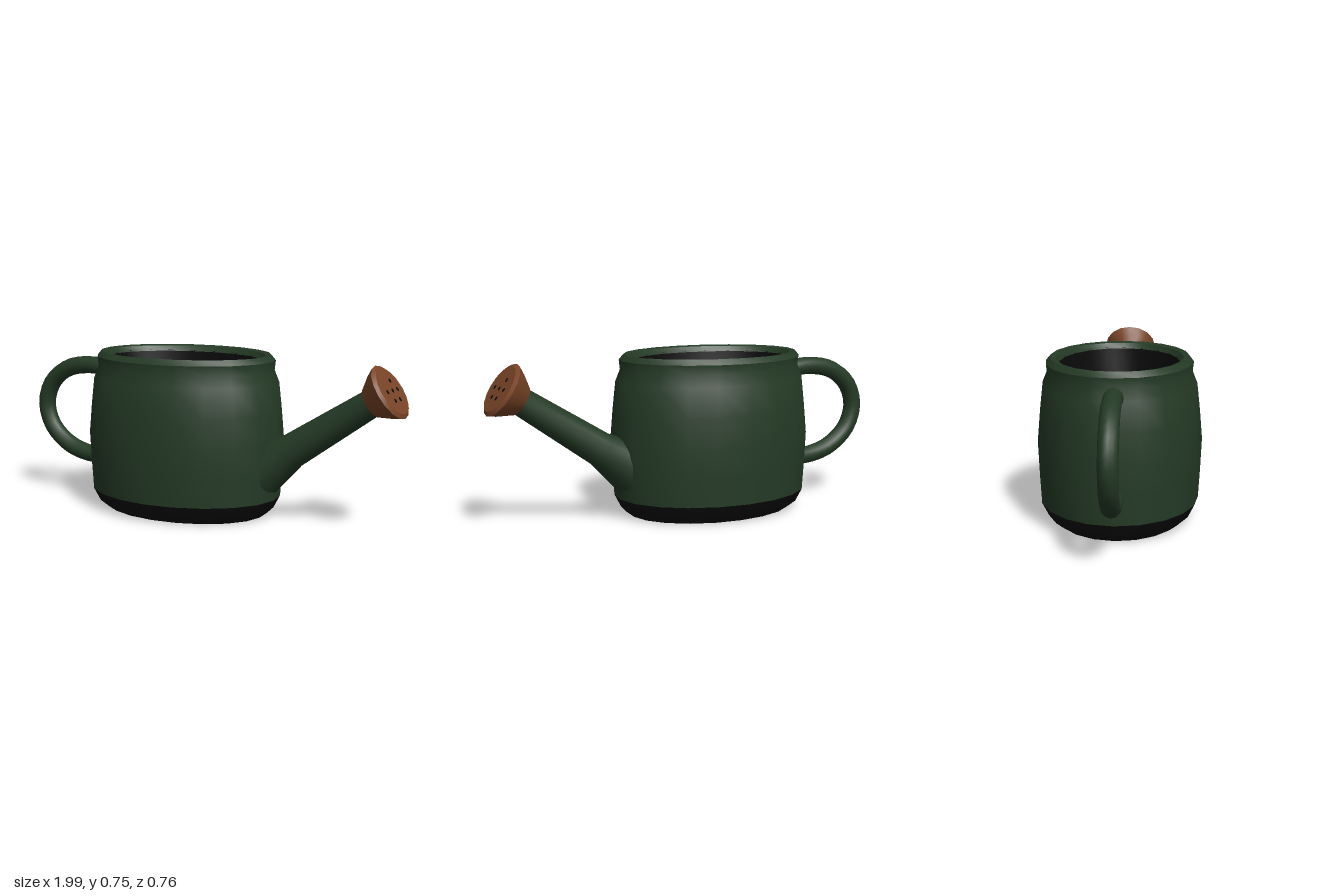
import * as THREE from 'three';
import { toCreasedNormals } from 'three/addons/utils/BufferGeometryUtils.js';

const paint = (name, color) => {
  const m = new THREE.MeshStandardMaterial({ color });
  m.name = name;
  return m;
};

export function createModel() {
  const green = paint('dark green', 0x253b26);
  const black = paint('black', 0x0b0b0b);
  const copper = paint('copper brown', 0x7a4527);
  const water = paint('pale grey water', 0xc4c4c4);

  const model = new THREE.Group();
  model.name = 'wateringCan';
  const add = (parent, name, geometry, material) => {
    const mesh = new THREE.Mesh(geometry, material);
    mesh.name = name;
    parent.add(mesh);
    return mesh;
  };
  const lathe = (points, sides) =>
    new THREE.LatheGeometry(points.map(([r, y]) => new THREE.Vector2(r, y)), sides);

  // Oval lathe: every ring is 0.113 longer in x than in z
  const oval = (points, sides) => {
    const g = lathe(points, sides);
    const p = g.attributes.position;
    for (let i = 0; i < p.count; i++) {
      const r = Math.hypot(p.getX(i), p.getZ(i));
      if (r > 0.01) p.setX(i, p.getX(i) * (r + 0.113) / r);
    }
    return toCreasedNormals(g, 0.75);
  };

  // Body
  const body = new THREE.Group();
  body.name = 'body';
  body.position.x = -0.12;
  model.add(body);
  add(body, 'base', oval([[0, 0], [0.295, 0], [0.335, 0.03], [0.366, 0.09]], 20), black);
  add(body, 'wall', oval([
    [0.366, 0.09], [0.374, 0.22], [0.381, 0.37], [0.37, 0.5], [0.356, 0.63],
    [0.334, 0.685], [0.339, 0.73], [0.318, 0.755], [0.292, 0.75], [0.276, 0.725],
  ], 20), green);
  add(body, 'innerWall', oval([[0.278, 0.73], [0.27, 0.64], [0.258, 0.53]], 40), black);
  add(body, 'waterSurface', oval([[0.262, 0.54], [0, 0.54]], 40), water);

  // Handle
  const path = new THREE.CatmullRomCurve3([
    [-0.53, 0.63], [-0.6, 0.652], [-0.7, 0.656], [-0.82, 0.63], [-0.92, 0.55], [-0.956, 0.44],
    [-0.92, 0.33], [-0.82, 0.245], [-0.7, 0.208], [-0.53, 0.205],
  ].map(([x, y]) => new THREE.Vector3(x, y, 0)));
  add(model, 'handle', new THREE.TubeGeometry(path, 28, 0.043, 12), green);

  // Spout group: local y runs along the spout
  const spout = new THREE.Group();
  spout.name = 'spoutAssembly';
  spout.position.set(0.3, 0.235, 0);
  spout.rotation.z = THREE.MathUtils.degToRad(33.3 - 90);
  model.add(spout);
  add(spout, 'spout', toCreasedNormals(
    lathe([[0.126, 0], [0.08, 0.19], [0.062, 0.66]], 12), 0.75), green);
  add(spout, 'sprinklerHead', toCreasedNormals(lathe([
    [0, 0.64], [0.072, 0.64], [0.112, 0.7], [0.132, 0.738], [0.115, 0.75], [0, 0.75],
  ], 16), 0.6), copper);

  // Sprinkler holes as thin discs: [up, z] on the face
  const holes = [[0, 0], [0, 0.055], [0, -0.055], [-0.046, 0.027], [-0.046, -0.027], [0.046, -0.027]];
  for (const [up, z] of holes) {
    const disc = new THREE.CircleGeometry(0.0105, 12).rotateX(-Math.PI / 2);
    add(spout, 'sprinklerHole', disc, black).position.set(-up, 0.752, z);
  }
  return model;
}
